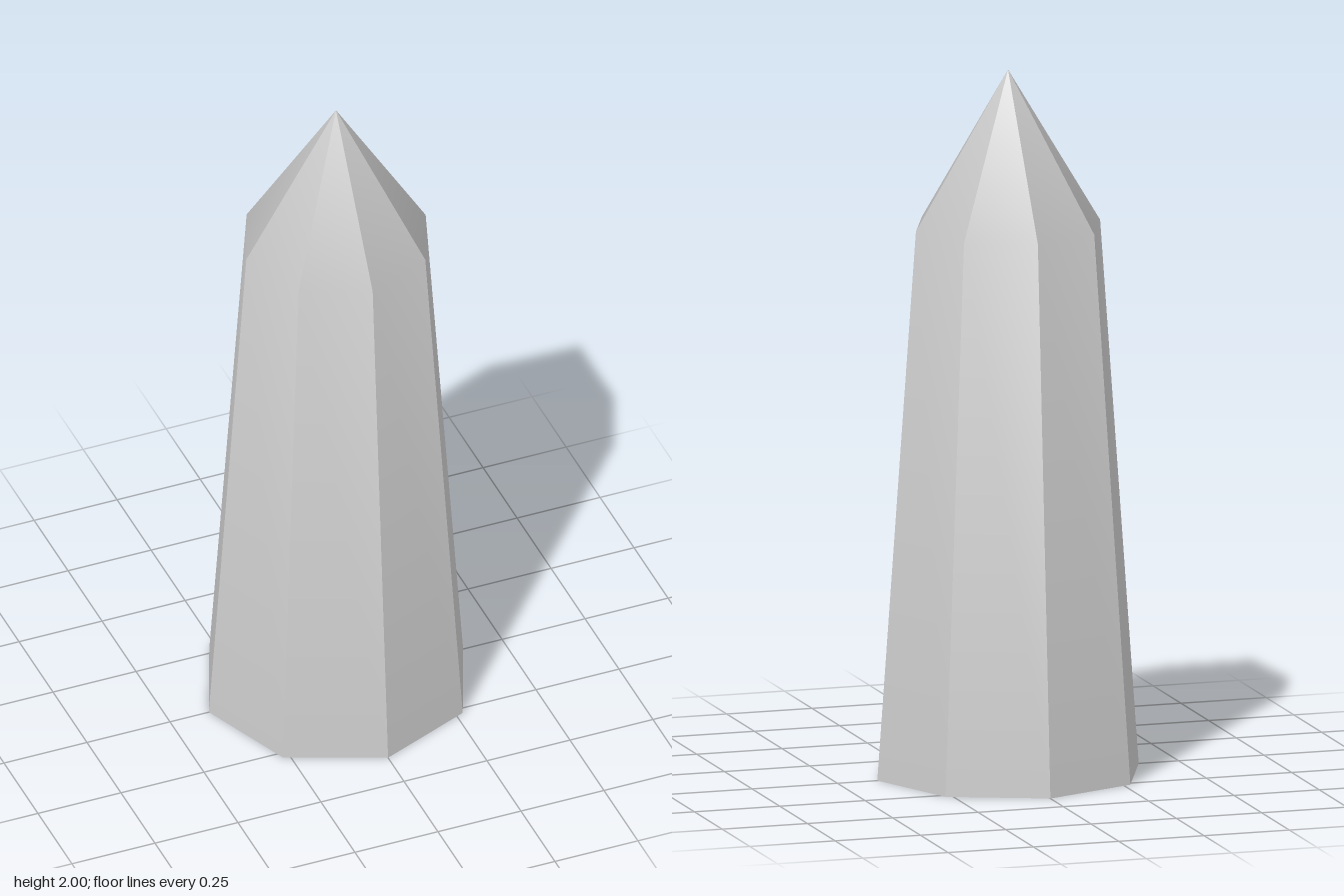
import * as THREE from 'three';
import { toCreasedNormals } from 'three/addons/utils/BufferGeometryUtils.js';

export function createModel() {
  const group = new THREE.Group();
  group.name = 'crystalPoint';

  // Half profile: flat base, tapering body, pointed tip
  const profile = [[0, 0], [0.383, 0], [0.27, 1.555], [0, 2]]
    .map(([r, y]) => new THREE.Vector2(r, y));

  // Eight sides with corners on the axes; the shoulder is soft, the other edges sharp
  const geometry = toCreasedNormals(new THREE.LatheGeometry(profile, 8), Math.PI / 6);
  const crystal = new THREE.Mesh(geometry, new THREE.MeshStandardMaterial({ color: 0xcccccc }));
  crystal.name = 'crystal';
  group.add(crystal);

  return group;
}
